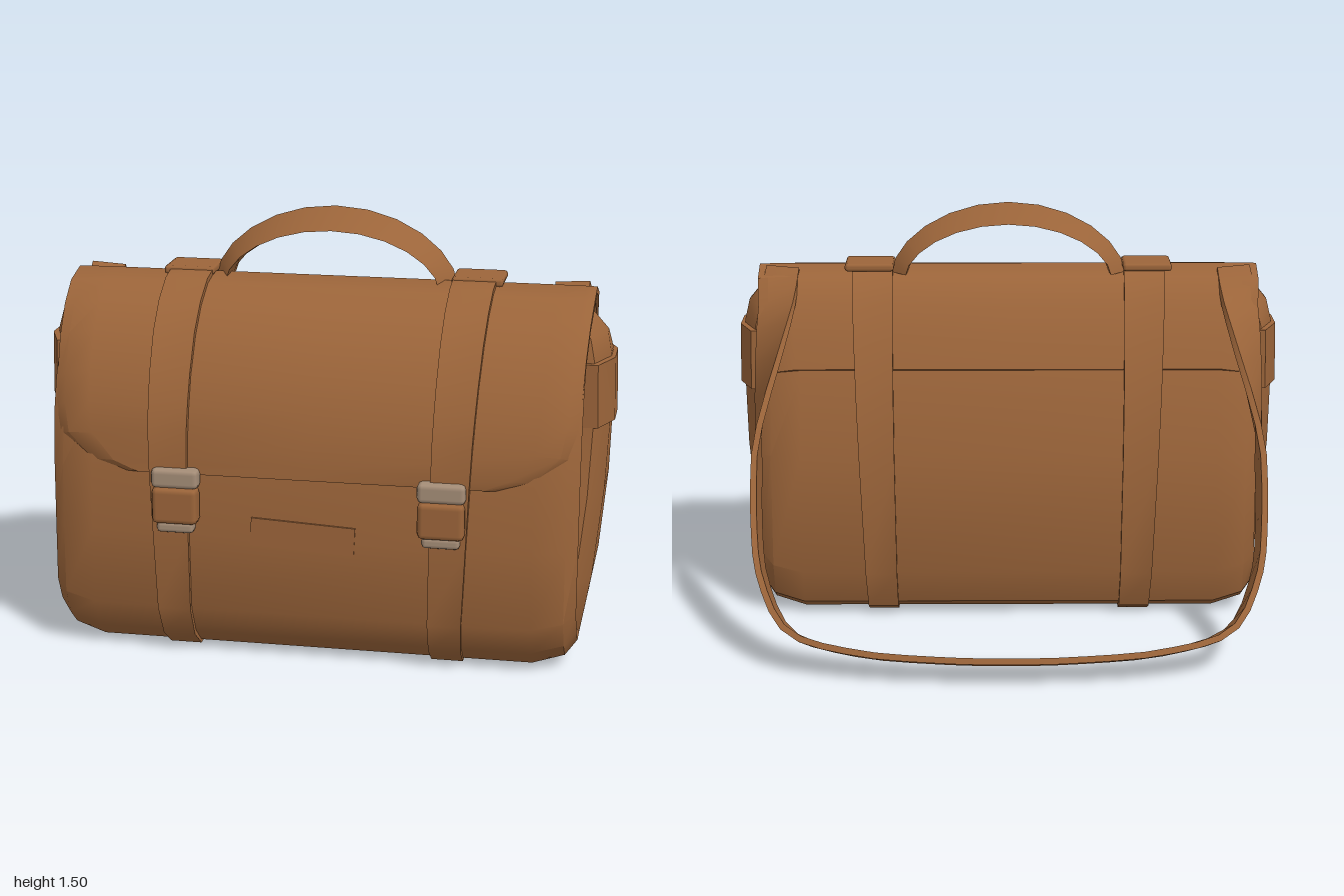
import * as THREE from 'three';
import { toCreasedNormals } from 'three/addons/utils/BufferGeometryUtils.js';
import { RoundedBoxGeometry } from 'three/addons/geometries/RoundedBoxGeometry.js';

const leather = new THREE.MeshStandardMaterial({ name: 'leather', color: 0x9c653a });
const metal = new THREE.MeshStandardMaterial({ name: 'buckle metal', color: 0xa68e78 });
const V = (x, y, z) => new THREE.Vector3(x, y, z);

// Solid skin over equal-length closed rings; ends capped by strips, or joined as a loop.
function loft(rings, loop = false, crease = 0.6) {
  const n = rings[0].length, m = rings.length, pts = rings.flat(), idx = [];
  for (let r = 0; r < (loop ? m : m - 1); r++) {
    for (let i = 0; i < n; i++) {
      const j = (i + 1) % n, q = (r + 1) % m;
      const a = r * n + i, b = r * n + j, c = q * n + j, d = q * n + i;
      idx.push(a, b, c, a, c, d);
    }
  }
  if (!loop) {
    const e = (m - 1) * n;
    for (let i = 0; i < n / 2 - 1; i++) {
      const p = n - 1 - i, q = n - 2 - i;
      idx.push(i + 1, i, p, i + 1, p, q);
      idx.push(e + i, e + i + 1, e + p, e + i + 1, e + q, e + p);
    }
  }
  // Turn the faces outward
  let volume = 0;
  for (let i = 0; i < idx.length; i += 3) {
    volume += pts[idx[i]].dot(pts[idx[i + 1]].clone().cross(pts[idx[i + 2]]));
  }
  if (volume < 0) idx.reverse();
  const g = new THREE.BufferGeometry().setFromPoints(pts);
  g.setIndex(idx);
  return toCreasedNormals(g, crease);
}

// Move a (z, y) profile point toward the middle of the bag
function inset([z, y], d) {
  const dz = 0.3 - z, dy = 0.6 - y, l = Math.hypot(dz, dy);
  return [z + dz / l * d, y + dy / l * d];
}

export function createModel() {
  const bag = new THREE.Group();
  bag.name = 'satchel';
  const add = (name, geometry, material = leather, x = 0, y = 0, z = 0) => {
    const mesh = new THREE.Mesh(geometry, material);
    mesh.name = name;
    mesh.position.set(x, y, z);
    bag.add(mesh);
    return mesh;
  };

  // Main body: side profile carried across x, rounded and rimmed at the ends
  const profile = [[0.6, 0.018], [0.67, 0.08], [0.717, 0.18], [0.717, 0.45], [0.703, 0.665], [0.66, 0.88],
    [0.62, 0.98], [0.543, 1.1], [0.455, 1.182], [0.357, 1.237], [0.25, 1.258], [0.163, 1.225], [0.1, 1.145],
    [0.04, 1.03], [-0.01, 0.9], [-0.08, 0.62], [-0.1, 0.18], [-0.05, 0.05], [0, 0.018], [0.3, 0.018]];
  const ends = [[0.83, 0.12], [0.9, 0.12], [0.91, 0.09], [0.87, 0.035], [0.76, 0]];
  const stations = [...ends.map(([x, d]) => [-x, d]), ...ends.reverse()];
  add('body', loft(stations.map(([x, d]) => profile.map(p => {
    const [z, y] = inset(p, d * (1 - 0.6 * p[1]));
    return V(x, y, z);
  }))));

  // Flap: [z, y, half width] from the front edge over the top to the back
  const flapRows = [[0.715, 0.665, 0.69], [0.712, 0.7, 0.79], [0.7, 0.79, 0.88], [0.67, 0.89, 0.9],
    [0.63, 0.99, 0.905], [0.55, 1.11, 0.91], [0.46, 1.195, 0.915], [0.36, 1.25, 0.92], [0.25, 1.272, 0.92],
    [0.16, 1.24, 0.92], [0.09, 1.15, 0.915], [0.03, 1.03, 0.91], [-0.004, 0.93, 0.9]];
  const across = [[-1, 0.05], [-0.96, 0.02], [-0.86, 0], [0, 0], [0.86, 0], [0.96, 0.02], [1, 0.05]];
  add('flap', loft(flapRows.map(([z, y, w]) => {
    const line = depth => across.map(([f, d]) => {
      const p = inset([z, y], depth + d * Math.min(1, (1.28 - y) / 0.3));
      return V(f * w, p[1], p[0]);
    });
    return [...line(0), ...line(0.022).reverse()];
  })));

  // Side gussets with their cross bands: [y, outer x, back z, front z]
  const gusset = [[0.04, 0.87, 0, 0.6], [0.1, 0.91, -0.01, 0.61], [0.3, 0.945, 0.025, 0.58],
    [0.6, 0.975, 0.07, 0.52], [0.85, 0.985, 0.11, 0.465], [1.06, 0.98, 0.12, 0.45],
    [1.13, 0.965, 0.15, 0.43], [1.21, 0.9, 0.18, 0.41]];
  const band = [[0.83, 1, 0.1, 0.47], [1.05, 0.995, 0.1, 0.47]];
  const pocketRings = (rows, s) => rows.map(([y, x, zb, zf]) =>
    [[0.8, zb], [x - 0.05, zb], [x, zb + 0.12], [x, zf - 0.12], [x - 0.05, zf], [0.8, zf]]
      .map(([px, pz]) => V(s * px, y, pz)));

  // Strap that wraps the whole bag: outer (z, y) loop
  const wrap = [[0.3, 0.005], [0.6, 0.005], [0.685, 0.07], [0.735, 0.18], [0.735, 0.46], [0.733, 0.67],
    [0.715, 0.82], [0.685, 0.91], [0.645, 1], [0.565, 1.125], [0.47, 1.212], [0.365, 1.268], [0.25, 1.29],
    [0.15, 1.257], [0.075, 1.162], [0.01, 1.03], [-0.055, 0.84], [-0.095, 0.62], [-0.115, 0.18],
    [-0.06, 0.035], [0, 0.005]];

  for (const s of [-1, 1]) {
    const side = s > 0 ? 'left' : 'right';
    add(side + ' gusset', loft(pocketRings(gusset, s), false, 0.9));
    add(side + ' gusset band', loft(pocketRings(band, s), false, 0.9));

    add(side + ' wrap strap', loft(wrap.map(p => {
      const t = p[1] / 1.28, c = s * (0.465 + 0.035 * t), h = 0.055 + 0.02 * t;
      const [z, y] = inset(p, 0.035);
      return [V(c - h, p[1], p[0]), V(c + h, p[1], p[0]), V(c + h, y, z), V(c - h, y, z)];
    }), true));

    // Handle tab on the top
    add(side + ' handle tab', new RoundedBoxGeometry(0.18, 0.03, 0.16, 1, 0.012), leather, s * 0.51, 1.277, 0.215);

    // Buckle: metal bars above and below a leather keeper
    const bx = s * 0.457;
    add(side + ' buckle top', new RoundedBoxGeometry(0.165, 0.07, 0.06, 1, 0.018), metal, bx, 0.655, 0.728);
    add(side + ' buckle keeper', new RoundedBoxGeometry(0.16, 0.13, 0.07, 1, 0.02), leather, bx, 0.56, 0.733);
    add(side + ' buckle bottom', new RoundedBoxGeometry(0.13, 0.04, 0.05, 1, 0.015), metal, bx, 0.483, 0.733);
  }

  // Carry handle: ridged arch
  const arch = [];
  for (let i = 0; i <= 12; i++) {
    const a = Math.PI * i / 12, c = Math.cos(a), s = Math.abs(Math.sin(a)) ** 1.2;
    const at = (k, z) => V(c * (0.37 + 0.06 * k), 1.25 + s * (0.18 + 0.08 * k), z);
    arch.push([at(1, 0.2), at(0.1, 0.295), at(0, 0.21), at(0.1, 0.135)]);
  }
  add('carry handle', loft(arch));

  // Shoulder strap hanging behind: half of the path, then mirrored
  const half = [[0.83, 1.265, 0.2], [0.855, 1.08, 0.038], [0.9, 0.74, -0.145], [0.9, 0.46, -0.315],
    [0.87, 0.28, -0.44], [0.77, 0.13, -0.56], [0.55, 0.08, -0.63], [0.25, 0.065, -0.67]];
  const path = [...half.map(p => V(...p)), V(0, 0.06, -0.675),
    ...half.slice().reverse().map(([x, y, z]) => V(-x, y, z))];
  const curve = new THREE.CatmullRomCurve3(path);
  const strapRings = [];
  for (let i = 0; i <= 48; i++) {
    const t = i / 48, p = curve.getPoint(t), tangent = curve.getTangent(t);
    // Twist from flat against the bag to hanging on edge
    const end = Math.max(0, 1 - Math.min(t, 1 - t) / 0.14);
    const wide = V((t < 0.5 ? -1 : 1) * end, 0.4 * (1 - end), -0.917 * (1 - end));
    wide.addScaledVector(tangent, -wide.dot(tangent)).normalize();
    const thick = tangent.clone().cross(wide).multiplyScalar(0.011);
    wide.multiplyScalar(0.096 - 0.036 * end);
    strapRings.push([[1, 1], [-1, 1], [-1, -1], [1, -1]].map(([u, v]) =>
      p.clone().addScaledVector(wide, u).addScaledVector(thick, v)));
  }
  add('shoulder strap', loft(strapRings));

  // Thin patch on the front panel
  const patch = add('front patch', new THREE.BoxGeometry(0.36, 0.1, 0.008), leather, -0.02, 0.465, 0.716);
  patch.rotation.z = -0.05;

  return bag;
}
